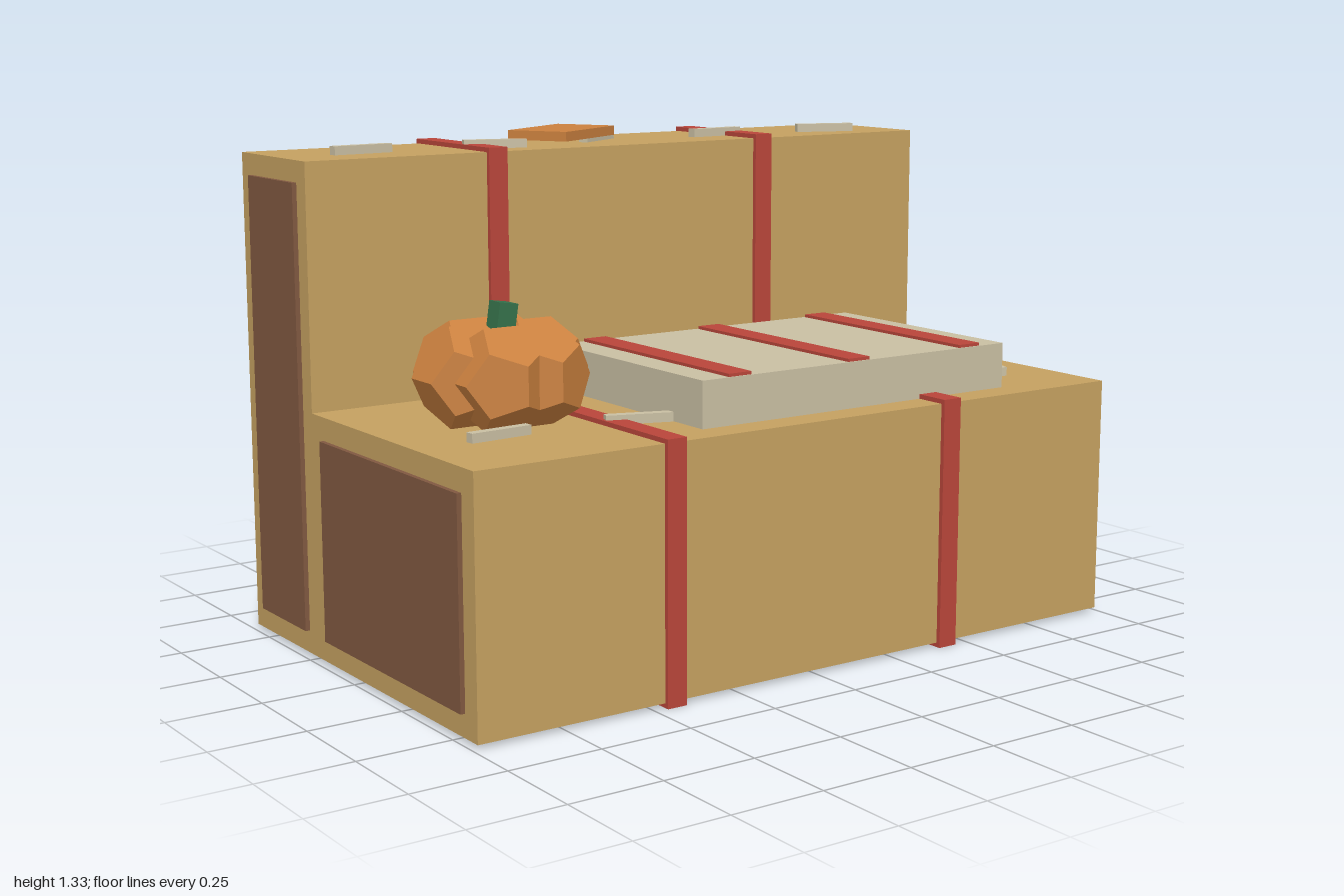
import * as THREE from 'three';

const mat = (name, color) => {
  const m = new THREE.MeshStandardMaterial({ color });
  m.name = name;
  return m;
};

export function createModel() {
  const straw = mat('straw', 0xc4a060);
  const endGrain = mat('endBrown', 0x805840);
  const red = mat('strapRed', 0xb8453a);
  const cream = mat('cream', 0xc8bea2);
  const orange = mat('orange', 0xca803e);
  const green = mat('stemGreen', 0x35704a);
  [straw, endGrain, red, cream, orange, green].forEach((m) => { m.flatShading = true; });

  const model = new THREE.Group();
  model.name = 'baleSofa';

  const add = (name, geometry, material, x, y, z, parent = model) => {
    const mesh = new THREE.Mesh(geometry, material);
    mesh.name = name;
    mesh.position.set(x, y, z);
    parent.add(mesh);
    return mesh;
  };
  const box = (name, material, w, h, d, x, y, z, parent) =>
    add(name, new THREE.BoxGeometry(w, h, d), material, x, y, z, parent);

  // L-shaped side profile, grown outwards by g and extruded along x
  const sofaProfile = (g, width) => {
    const pts = [
      [0.595 + g, 0.012 - g], [0.595 + g, 0.654 + g], [-0.223 + g, 0.654 + g],
      [-0.223 + g, 1.291 + g], [-0.595 - g, 1.291 + g], [-0.595 - g, 0.012 - g],
    ].map(([z, y]) => new THREE.Vector2(z, y));
    const geo = new THREE.ExtrudeGeometry(new THREE.Shape(pts), { depth: width, bevelEnabled: false });
    return geo.translate(0, 0, -width / 2).rotateY(-Math.PI / 2);
  };

  // Body and the two straps around it
  add('body', sofaProfile(0, 1.975), straw, 0, 0, 0);
  for (const x of [-0.438, 0.432]) add('strap', sofaProfile(0.012, 0.056), red, x, 0, 0);

  // Brown panels on both ends
  for (const s of [-1, 1]) {
    box('seatEndPanel', endGrain, 0.024, 0.522, 0.698, s * 0.988, 0.333, 0.19);
    box('backEndPanel', endGrain, 0.024, 1.163, 0.262, s * 0.988, 0.6535, -0.404);
  }

  // Striped blanket on the seat
  box('blanket', cream, 0.99, 0.122, 0.668, 0.2, 0.714, 0.175);
  for (const x of [-0.178, 0.2, 0.578]) {
    box('blanketStripe', red, 0.07, 0.012, 0.66, x, 0.777, 0.175);
  }

  // Loose stalks on the backrest and the seat
  const stalks = [[-0.755, -0.37, -0.07], [-0.375, -0.337, 0.33], [0, -0.415, -0.55],
    [0.375, -0.37, -0.07], [0.75, -0.337, 0.33]];
  for (const [dy, dz] of [[1.302, 0], [0.666, 0.685]]) {
    stalks.forEach(([x, z, turn]) => {
      box('stalk', cream, 0.172, 0.024, 0.025, x, dy, z + dz).rotation.y = -turn;
    });
  }

  // Book on the backrest
  box('book', orange, 0.29, 0.026, 0.178, -0.12, 1.318, -0.406).rotation.y = 0.53;

  // Pumpkin: a ring of six faceted lobes and a leaning stem
  const pumpkin = new THREE.Group();
  pumpkin.name = 'pumpkin';
  pumpkin.position.set(-0.672, 0.788, 0.187);
  model.add(pumpkin);
  const lobe = new THREE.DodecahedronGeometry(0.135);
  for (let i = 0; i < 6; i++) {
    const a = (i * Math.PI) / 3;
    add('pumpkinLobe', lobe, orange, Math.cos(a) * 0.096, 0, Math.sin(a) * 0.096, pumpkin);
  }
  box('pumpkinStem', green, 0.052, 0.12, 0.052, 0, 0.114, 0.002, pumpkin).rotation.z = -0.15;

  return model;
}
